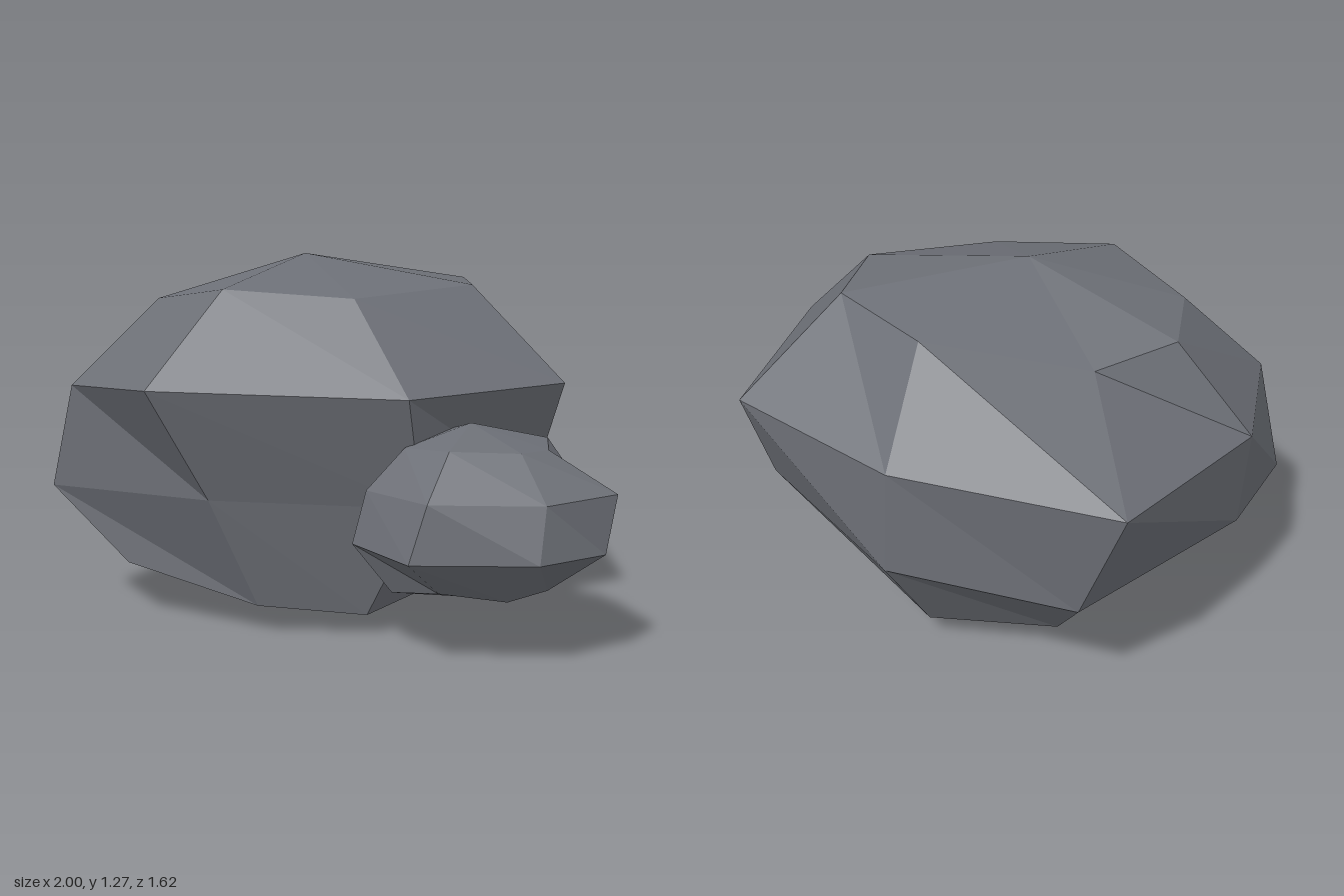
import * as THREE from 'three';

// Closed faceted boulder: a top point, rings of [x, y, z] corners, and a bottom point.
// Rings run front -> +x side -> back -> -x side.
function boulder(name, top, rings, bottom, material) {
  const n = rings[0].length;
  const points = [top, ...rings.flat(), bottom];
  const at = (ring, i) => 1 + ring * n + (i % n);
  const index = [];
  for (let i = 0; i < n; i++) {
    index.push(0, at(0, i), at(0, i + 1));
    for (let r = 0; r < rings.length - 1; r++) {
      index.push(at(r, i), at(r + 1, i), at(r + 1, i + 1));
      index.push(at(r, i), at(r + 1, i + 1), at(r, i + 1));
    }
    index.push(points.length - 1, at(rings.length - 1, i + 1), at(rings.length - 1, i));
  }
  const indexed = new THREE.BufferGeometry();
  indexed.setAttribute('position', new THREE.Float32BufferAttribute(points.flat(), 3));
  indexed.setIndex(index);
  const geometry = indexed.toNonIndexed(); // separate facets for hard edges
  geometry.computeVertexNormals();
  const mesh = new THREE.Mesh(geometry, material);
  mesh.name = name;
  return mesh;
}

export function createModel() {
  const group = new THREE.Group();
  group.name = 'rocks';
  const stone = new THREE.MeshStandardMaterial({ color: 0x6c6f76 });
  stone.name = 'slate grey stone';

  // Large rock
  group.add(boulder('largeRock', [-0.16, 1.27, -0.05], [
    [[-0.30, 1.15, 0.44], [0.13, 1.12, 0.36], [0.46, 1.16, -0.02], [0.37, 1.18, -0.38],
      [0, 1.16, -0.56], [-0.51, 1.07, -0.37], [-0.71, 1.11, -0.15], [-0.64, 1.11, 0.18]],
    [[-0.45, 0.84, 0.75], [0.36, 0.815, 0.57], [0.80, 0.835, 0.11], [0.64, 0.845, -0.63],
      [0, 0.82, -0.81], [-0.77, 0.86, -0.81], [-0.97, 0.80, -0.11], [-0.89, 0.81, 0.38]],
    [[-0.30, 0.47, 0.60], [0.38, 0.45, 0.46], [0.69, 0.47, 0.04], [0.65, 0.455, -0.45],
      [0.02, 0.45, -0.81], [-0.62, 0.45, -0.76], [-0.95, 0.45, -0.09], [-1, 0.44, 0.33]],
    [[-0.17, 0.095, 0.49], [0.19, 0.07, 0.42], [0.45, 0.14, 0.03], [0.34, 0.15, -0.34],
      [-0.02, 0.095, -0.58], [-0.46, 0.13, -0.49], [-0.63, 0.13, -0.04], [-0.68, 0.19, 0.40]],
  ], [-0.16, 0, -0.05], stone));

  // Small rock, sunk into the large one's front corner
  group.add(boulder('smallRock', [0.53, 0.73, 0.41], [
    [[0.50, 0.67, 0.64], [0.71, 0.66, 0.56], [0.78, 0.655, 0.43], [0.76, 0.67, 0.26],
      [0.62, 0.67, 0.20], [0.43, 0.67, 0.22], [0.35, 0.67, 0.36], [0.34, 0.66, 0.54]],
    [[0.46, 0.53, 0.78], [0.80, 0.52, 0.66], [1, 0.535, 0.49], [0.86, 0.52, 0.22],
      [0.66, 0.53, 0.07], [0.38, 0.53, 0.10], [0.23, 0.53, 0.35], [0.23, 0.53, 0.60]],
    [[0.41, 0.35, 0.81], [0.79, 0.35, 0.72], [0.97, 0.35, 0.52], [0.91, 0.35, 0.23],
      [0.64, 0.35, 0.06], [0.36, 0.35, 0.10], [0.22, 0.35, 0.35], [0.19, 0.36, 0.62]],
    [[0.47, 0.22, 0.63], [0.68, 0.20, 0.60], [0.79, 0.21, 0.47], [0.76, 0.20, 0.30],
      [0.68, 0.20, 0.17], [0.42, 0.20, 0.20], [0.32, 0.20, 0.36], [0.31, 0.20, 0.58]],
  ], [0.53, 0.155, 0.41], stone));

  return group;
}
